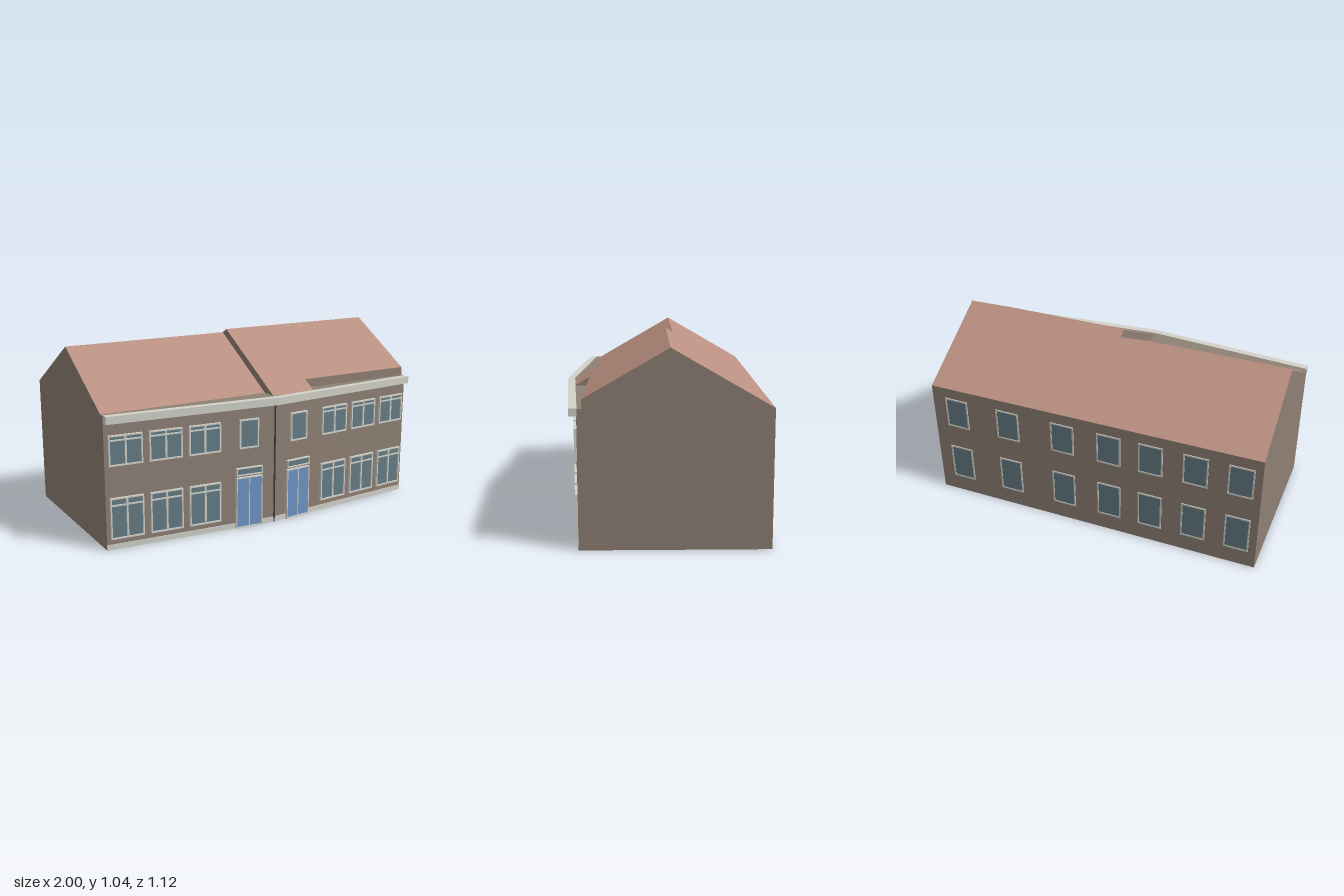
import * as THREE from 'three';

const mat = (name, color) => {
  const m = new THREE.MeshStandardMaterial({ color });
  m.name = name;
  return m;
};

export function createModel() {
  const wall = mat('brown brick', 0x8e8075);
  const roof = mat('roof tile', 0xb98f80);
  const trim = mat('pale trim', 0xd2d2ca);
  const glass = mat('window glass', 0x667d86);
  const blue = mat('blue door', 0x6c94c6);
  const dark = mat('dark joint', 0x3a3633);

  const model = new THREE.Group();
  model.name = 'terracedHouses';

  const add = (parent, name, geo, material) => {
    const m = new THREE.Mesh(geo, material);
    m.name = name;
    parent.add(m);
    return m;
  };
  // box given by its limits on each axis
  const box = (parent, name, material, x0, x1, y0, y1, z0, z1) => {
    const g = new THREE.BoxGeometry(x1 - x0, y1 - y0, z1 - z0);
    g.translate((x0 + x1) / 2, (y0 + y1) / 2, (z0 + z1) / 2);
    return add(parent, name, g, material);
  };
  // plan outline [x, z] raised from y0 to y1
  const plan = (name, material, pts, y0, y1) => {
    const s = new THREE.Shape(pts.map(([x, z]) => new THREE.Vector2(x, -z)));
    const g = new THREE.ExtrudeGeometry(s, { depth: y1 - y0, bevelEnabled: false });
    g.rotateX(-Math.PI / 2);
    g.translate(0, y0, 0);
    return add(model, name, g, material);
  };
  // side profile [z, y] stretched from x0 to x1, brick ends and tiled slopes
  const roofPrism = (name, pts, x0, x1) => {
    const s = new THREE.Shape(pts.map(([z, y]) => new THREE.Vector2(-z, y)));
    const g = new THREE.ExtrudeGeometry(s, { depth: x1 - x0, bevelEnabled: false });
    g.rotateY(Math.PI / 2);
    g.translate(x0, 0, 0);
    return add(model, name, g, [wall, roof]);
  };

  const BACK = -0.557, SIDE = 0.44, MID = 0.52, EAVE = 0.74;

  // walls with a front that bends outward at the middle
  plan('walls', wall, [[-1, BACK], [1, BACK], [1, SIDE], [0, MID], [-1, SIDE]], 0, EAVE);
  const band = (name, y0, y1, out) => plan(name, trim,
    [[-1, SIDE - 0.002], [0, MID - 0.002], [1, SIDE - 0.002],
      [1, SIDE + out], [0, MID + out], [-1, SIDE + out]], y0, y1);
  band('cornice', 0.7, 0.742, 0.04);
  band('plinth', 0, 0.03, 0.003);

  // roofs: the right half is higher, and its middle bay runs on to the front
  roofPrism('leftRoof', [[BACK, EAVE], [-0.073, 1.02], [0.41, EAVE]], -1, 0);
  roofPrism('middleRoof', [[BACK, EAVE], [-0.03, 1.045], [0.498, EAVE]], 0, 0.275);
  roofPrism('rightRoof', [[BACK, EAVE], [-0.03, 1.045], [0.41, 0.79], [0.41, EAVE]], 0.275, 1);
  box(model, 'roofUpstand', wall, 0.275, 1, EAVE, 0.788, 0.408, 0.414);
  box(model, 'middleJoint', dark, -0.004, 0.004, 0, 0.7, 0.51, 0.524);

  // rectangular frame with an inset pane, standing out from z = 0
  const framed = (parent, name, x0, x1, y0, y1, t, depth, pane) => {
    const w = new THREE.Group();
    w.name = name;
    parent.add(w);
    box(w, 'frameSide', trim, x0, x0 + t, y0, y1, 0, depth);
    box(w, 'frameSide', trim, x1 - t, x1, y0, y1, 0, depth);
    box(w, 'frameTop', trim, x0 + t, x1 - t, y1 - t, y1, 0, depth);
    box(w, 'frameBottom', trim, x0 + t, x1 - t, y0, y0 + t, 0, depth);
    box(w, 'pane', pane, x0 + t, x1 - t, y0 + t, y1 - t, 0, depth * 0.45);
    return w;
  };

  // front windows and doors, mirrored on the two angled halves
  const D = 0.014, T = 0.008;
  for (const s of [-1, 1]) {
    const half = new THREE.Group();
    half.name = s > 0 ? 'leftFront' : 'rightFront';
    half.position.z = MID;
    half.rotation.y = s * Math.atan(0.08);
    model.add(half);
    const span = (a, b) => (s > 0 ? [a, b] : [-b, -a]);

    for (const a of [0.34, 0.567, 0.793]) {
      const [x0, x1] = span(a, a + 0.188);
      const c = (x0 + x1) / 2;
      for (const [y0, y1, bar] of [[0.06, 0.29, 0.248], [0.465, 0.632, 0.604]]) {
        const w = framed(half, 'frontWindow', x0, x1, y0, y1, T, D, glass);
        box(w, 'mullion', trim, c - 0.005, c + 0.005, y0 + T, y1 - T, 0, D);
        box(w, 'transomBar', trim, x0 + T, x1 - T, bar - 0.004, bar + 0.004, 0, D - 0.001);
      }
    }
    const [u0, u1] = span(0.107, 0.225);
    framed(half, 'smallWindow', u0, u1, 0.465, 0.632, T, D, glass);

    const [d0, d1] = span(0.083, 0.246);
    const c = (d0 + d1) / 2;
    const door = framed(half, 'frontDoor', d0, d1, 0, 0.298, 0.006, 0.016, blue);
    box(door, 'doorMullion', trim, c - 0.003, c + 0.003, 0.006, 0.292, 0, 0.015);
    framed(half, 'doorLight', d0, d1, 0.31, 0.354, 0.005, 0.018, glass);
  }

  // rear windows
  for (const c of [-0.885, -0.63, -0.37, -0.12, 0.165, 0.512, 0.845]) {
    for (const [y0, y1] of [[0.105, 0.332], [0.48, 0.675]]) {
      const w = framed(model, 'rearWindow', -0.072, 0.072, y0, y1, 0.009, 0.005, glass);
      w.position.set(c, 0, BACK);
      w.rotation.y = Math.PI;
    }
  }
  return model;
}
